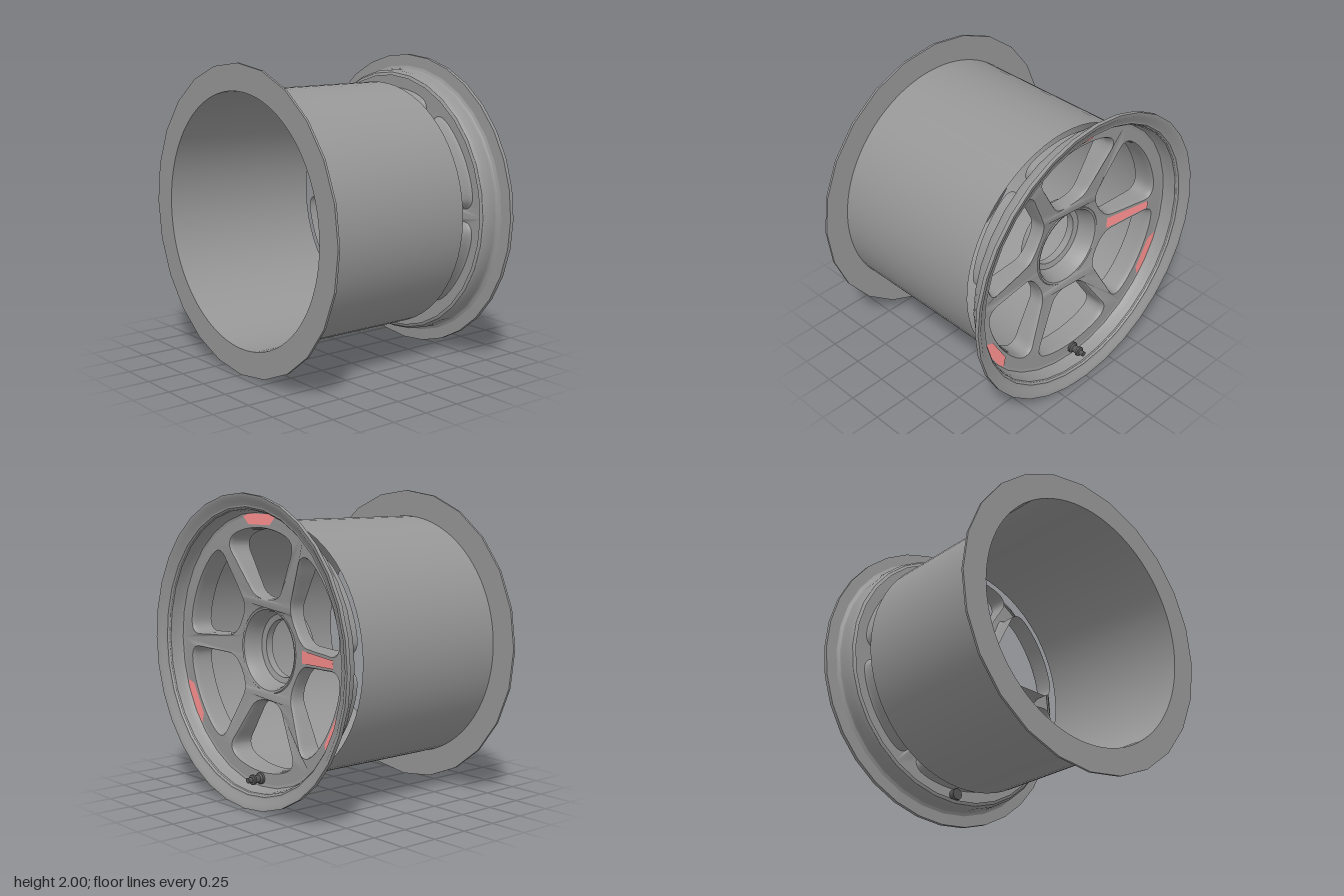
import * as THREE from 'three';
import { toCreasedNormals } from 'three/addons/utils/BufferGeometryUtils.js';

const paint = color => new THREE.MeshStandardMaterial({ color, side: THREE.DoubleSide });
const grey = paint(0x969696);
const dark = paint(0x555555);
const pink = paint(0xff9090);
const FACE = 0.572; // axial position of the outer spoke face
const BACK = 0.437; // where the barrel ends

// the spoke face sinks towards the hub
const dish = r => FACE - 0.15 * Math.max(0, 0.72 - r);

function add(parent, name, geometry, material = grey) {
  const mesh = new THREE.Mesh(geometry, material);
  mesh.name = name;
  parent.add(mesh);
  return mesh;
}

// revolve [radius, axial] pairs about the wheel axis (z)
function revolve(pairs, sides) {
  const g = new THREE.LatheGeometry(pairs.map(([r, z]) => new THREE.Vector2(r, z)), sides);
  return toCreasedNormals(g.rotateX(Math.PI / 2), 0.6);
}

// flat shape bent onto the dished face
function dished(shape, lift = 0) {
  const g = new THREE.ShapeGeometry(shape, 36);
  const p = g.attributes.position;
  for (let i = 0; i < p.count; i++) p.setZ(i, dish(Math.hypot(p.getX(i), p.getY(i))) + lift);
  g.computeVertexNormals();
  return g;
}

const polygon = points => new THREE.Shape(points.map(([x, y]) => new THREE.Vector2(x, y)));

// rounded outline of the upper window between two spokes
const half = [[0.13, 0.764], [0.24, 0.735], [0.295, 0.7], [0.31, 0.65], [0.25, 0.545],
  [0.18, 0.435], [0.13, 0.367], [0.07, 0.339]];
const control = [[0, 0.775], ...half, [0, 0.333], ...half.map(([x, y]) => [-x, y]).reverse()];
const outline = new THREE.CatmullRomCurve3(
  control.map(([x, y]) => new THREE.Vector3(x, y, 0)), true).getPoints(72).slice(0, -1);

// window outline scaled about its middle and turned to its place
function windowRing(scale, angle) {
  return outline.map(p => new THREE.Vector3(p.x * scale, 0.57 + (p.y - 0.57) * scale, 0)
    .applyAxisAngle(new THREE.Vector3(0, 0, 1), angle));
}

// skin over closed rings of equal length
function loft(rings) {
  const n = rings[0].length, index = [];
  for (let r = 0; r < rings.length - 1; r++) {
    for (let i = 0; i < n; i++) {
      const a = r * n + i, b = r * n + (i + 1) % n;
      index.push(a, b, a + n, b, b + n, a + n);
    }
  }
  const g = new THREE.BufferGeometry().setFromPoints(rings.flat());
  g.setIndex(index);
  g.computeVertexNormals();
  return g;
}

export function createModel() {
  const model = new THREE.Group();
  model.name = 'wheel';
  const wheel = new THREE.Group();
  wheel.name = 'wheelBody';
  wheel.rotation.y = Math.PI / 2; // wheel axis z becomes x
  wheel.position.y = 1;
  model.add(wheel);

  // barrel, and rear flange with a faceted edge around a round opening
  add(wheel, 'barrel', revolve([[0.825, -0.71], [0.825, BACK]], 64));
  const flange = polygon(Array.from({ length: 24 }, (_, i) => {
    const a = i * Math.PI / 12;
    return [Math.cos(a), Math.sin(a)];
  }));
  flange.holes.push(new THREE.Path().absarc(0, 0, 0.825, 0, Math.PI * 2, true));
  add(wheel, 'rearFlange', new THREE.ExtrudeGeometry(flange,
    { depth: 0.015, bevelEnabled: false, curveSegments: 64 })).position.z = -0.712;

  // front rim with stepped lip
  add(wheel, 'frontRim', revolve([
    [0.865, 0.546], [0.885, 0.555], [0.9, 0.58], [0.9, 0.66], [0.915, 0.68], [1, 0.686],
    [1, 0.712], [0.975, 0.708], [0.955, 0.692], [0.93, 0.684], [0.905, 0.668],
    [0.893, 0.63], [0.888, 0.592], [0.878, 0.576], [0.86, FACE],
  ], 32));

  // dished spoke face with six windows
  const plate = new THREE.Shape().absarc(0, 0, 0.875, 0, Math.PI * 2);
  plate.holes.push(new THREE.Path().absarc(0, 0, 0.265, 0, Math.PI * 2, true));
  for (let i = 0; i < 6; i++) {
    const ring = windowRing(1.04, i * Math.PI / 3).map(p => new THREE.Vector2(p.x, p.y));
    plate.holes.push(new THREE.Path(ring));
  }
  add(wheel, 'spokeFace', dished(plate));

  // window walls with rounded front edges
  const edge = [[1.04, 0], [1.02, 0.007], [1.006, 0.022], [1, 0.045]];
  for (let i = 0; i < 6; i++) {
    const angle = i * Math.PI / 3;
    const rings = edge.map(([scale, depth]) => windowRing(scale, angle)
      .map(p => p.setZ(dish(Math.hypot(p.x, p.y)) - depth)));
    rings.push(windowRing(1, angle).map(p => p.setZ(BACK - 0.015)));
    add(wheel, 'windowWall', loft(rings));
  }

  // hub with deep stepped bore
  add(wheel, 'hub', revolve([
    [0.285, 0.503], [0.275, 0.512], [0.262, 0.508], [0.248, 0.48], [0.236, 0.43], [0.226, 0.39],
    [0.19, 0.38], [0.19, 0.33], [0.26, 0.34], [0.28, 0.49],
  ], 40));

  // valve
  const valve = add(wheel, 'valve', revolve([
    [0, -0.035], [0.038, -0.035], [0.038, 0.02], [0.026, 0.03], [0.026, 0.06], [0.034, 0.065],
    [0.034, 0.08], [0.018, 0.085], [0.018, 0.115], [0, 0.115],
  ], 12), dark);
  valve.position.set(0, -0.825, FACE - 0.005);

  // coloured marks around the rim and on one spoke
  for (let i = 0; i < 3; i++) {
    add(wheel, 'rimMark', dished(polygon([
      [-0.11, 0.8], [0.11, 0.8], [0.163, 0.85], [0.1, 0.868], [-0.1, 0.868], [-0.163, 0.85]]), 0.005), pink)
      .rotation.z = i * Math.PI * 2 / 3;
  }
  add(wheel, 'spokeMark', dished(polygon(
    [[0.36, -0.04], [0.715, -0.026], [0.715, 0.026], [0.36, 0.04]]), 0.005), pink);

  return model;
}
